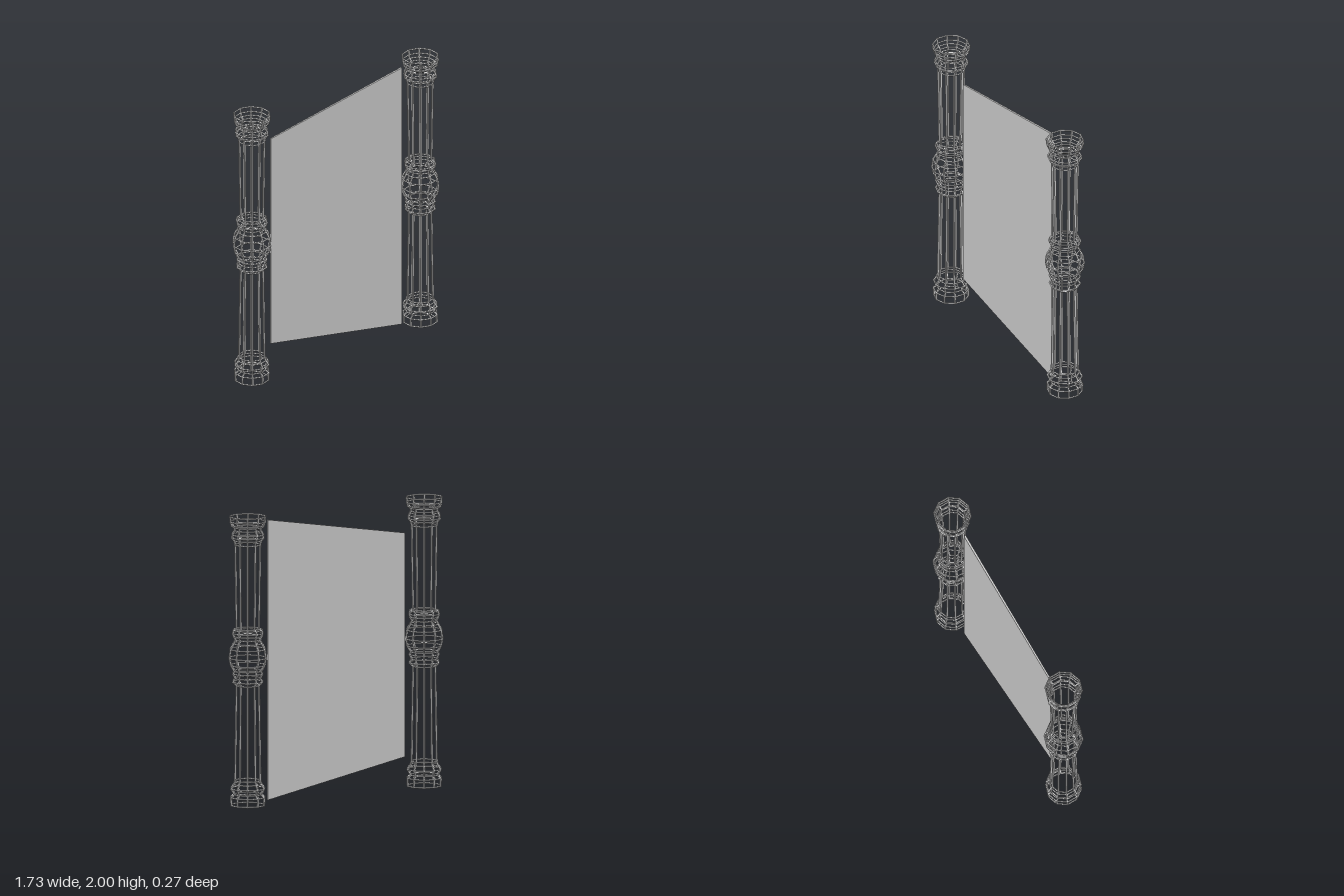
import * as THREE from 'three';
import { mergeGeometries } from 'three/addons/utils/BufferGeometryUtils.js';

const SIDES = 10;
const WIRE = 0.006; // half thickness of a wire

// Turned-post profile: [radius, height]
const PROFILE = [
  [0.117, 0.006], [0.119, 0.06], [0.095, 0.08], [0.118, 0.12], [0.098, 0.15], [0.09, 0.175],
  [0.08, 0.83], [0.104, 0.855], [0.09, 0.88], [0.104, 0.912], [0.096, 0.93],
  [0.12, 0.97], [0.13, 1.02], [0.122, 1.08], [0.1, 1.12], [0.088, 1.145], [0.1, 1.17],
  [0.106, 1.19], [0.1, 1.212], [0.08, 1.22],
  [0.089, 1.8], [0.096, 1.83], [0.112, 1.85], [0.11, 1.87], [0.094, 1.9], [0.096, 1.92],
  [0.115, 1.935], [0.122, 1.96], [0.125, 1.994],
];

const UP = new THREE.Vector3(0, 1, 0);

// Square bar between two points
function bar(a, b) {
  const dir = b.clone().sub(a);
  const geo = new THREE.BoxGeometry(WIRE * 1.7, dir.length() + WIRE, WIRE * 1.7);
  geo.applyQuaternion(new THREE.Quaternion().setFromUnitVectors(UP, dir.normalize()));
  const mid = a.clone().add(b).multiplyScalar(0.5);
  return geo.translate(mid.x, mid.y, mid.z);
}

function ringGeometry() {
  return mergeGeometries(PROFILE.map(([r, y]) =>
    new THREE.TorusGeometry(r, WIRE, 4, SIDES).rotateX(Math.PI / 2).rotateY(Math.PI / 2).translate(0, y, 0)));
}

function ribGeometry() {
  const bars = [];
  for (let i = 0; i < SIDES; i++) {
    const a = (i / SIDES) * Math.PI * 2;
    const pts = PROFILE.map(([r, y]) => new THREE.Vector3(Math.sin(a) * r, y, Math.cos(a) * r));
    for (let k = 0; k < pts.length - 1; k++) bars.push(bar(pts[k], pts[k + 1]));
  }
  return mergeGeometries(bars);
}

// Trapezoid panel: height and thickness grow towards +x
function panelGeometry() {
  const geo = new THREE.BoxGeometry(1.144, 1, 0.014);
  const p = geo.attributes.position;
  for (let i = 0; i < p.count; i++) {
    const right = p.getX(i) > 0, top = p.getY(i) > 0;
    p.setY(i, right ? (top ? 1.958 : 0.026) : (top ? 1.764 : 0.22));
    if (!right) p.setZ(i, p.getZ(i) * 0.8);
  }
  geo.computeVertexNormals();
  return geo;
}

export function createModel() {
  const model = new THREE.Group();
  model.name = 'postsWithPanel';
  const material = new THREE.MeshStandardMaterial({ color: 0xcccccc, flatShading: true });
  const add = (parent, geo, name) => {
    const mesh = new THREE.Mesh(geo, material);
    mesh.name = name;
    parent.add(mesh);
  };

  // Two wire-frame posts
  const rings = ringGeometry(), ribs = ribGeometry();
  for (const [name, x] of [['leftPost', 0.737], ['rightPost', -0.737]]) {
    const post = new THREE.Group();
    post.name = name;
    post.position.x = x;
    add(post, rings, 'postRings');
    add(post, ribs, 'postRibs');
    model.add(post);
  }

  // Flat panel between the posts
  add(model, panelGeometry(), 'panel');
  return model;
}
